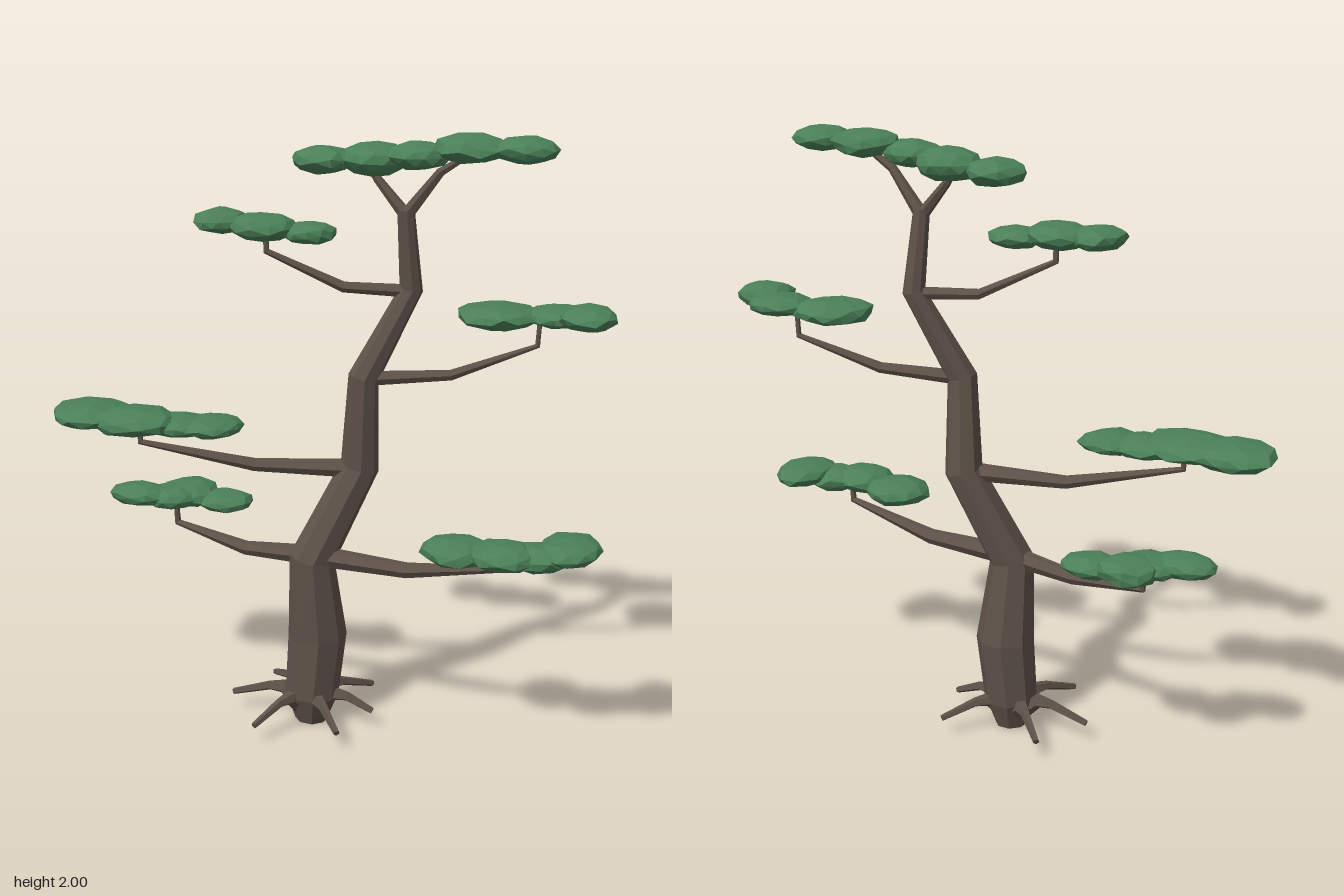
import * as THREE from 'three';

const bark = new THREE.MeshStandardMaterial({ color: 0x5e5249, flatShading: true });
const leaf = new THREE.MeshStandardMaterial({ color: 0x4a8058, flatShading: true });

// Faceted tapering limb through points [x, y, z, radius], capped at both ends
function limb(name, pts, sides = 6) {
  const centers = pts.map(p => new THREE.Vector3(p[0], p[1], p[2]));
  const pos = [], index = [];
  pts.forEach((p, i) => {
    const a = centers[Math.max(i - 1, 0)], b = centers[Math.min(i + 1, pts.length - 1)];
    const into = i ? centers[i].clone().sub(a).normalize() : new THREE.Vector3();
    const out = i < pts.length - 1 ? b.clone().sub(centers[i]).normalize() : new THREE.Vector3();
    const t = into.add(out).normalize();
    const u = new THREE.Vector3(0, 0, 1).cross(t).normalize();
    const v = t.clone().cross(u);
    for (let k = 0; k < sides; k++) {
      const ang = ((k + 0.5) / sides) * Math.PI * 2;
      const q = centers[i].clone()
        .addScaledVector(u, Math.cos(ang) * p[3])
        .addScaledVector(v, Math.sin(ang) * p[3]);
      pos.push(q.x, q.y, q.z);
      if (i < pts.length - 1) {
        const s = i * sides + k, n = i * sides + (k + 1) % sides;
        index.push(s, n, n + sides, s, n + sides, s + sides);
      }
    }
  });
  const last = (pts.length - 1) * sides;
  for (let k = 1; k < sides - 1; k++) {
    index.push(0, k + 1, k, last, last + k, last + k + 1);
  }
  const g = new THREE.BufferGeometry();
  g.setAttribute('position', new THREE.Float32BufferAttribute(pos, 3));
  g.setIndex(index);
  g.computeVertexNormals();
  const mesh = new THREE.Mesh(g, bark);
  mesh.name = name;
  return mesh;
}

// Squashed, slightly lumpy ball of needles
function blob([x, y, z, rx, rz, h], seed) {
  const g = new THREE.IcosahedronGeometry(1, 1);
  const p = g.attributes.position, v = new THREE.Vector3();
  for (let i = 0; i < p.count; i++) {
    v.fromBufferAttribute(p, i);
    v.multiplyScalar(1 + 0.07 * Math.sin(v.x * 5 + seed * 2.1) * Math.cos(v.y * 4 - v.z * 6 + seed));
    p.setXYZ(i, v.x, v.y, v.z);
  }
  g.rotateX(seed * 1.3);
  g.rotateY(seed * 2.4);
  g.scale(rx, h, rz);
  g.computeVertexNormals();
  const mesh = new THREE.Mesh(g, leaf);
  mesh.position.set(x, y, z);
  mesh.name = 'foliageClump';
  return mesh;
}

export function createModel() {
  const tree = new THREE.Group();
  tree.name = 'tree';

  // Winding trunk
  tree.add(limb('trunk', [
    [-0.065, 0.005, 0.02, 0.055], [-0.062, 0.1, 0.02, 0.09], [-0.045, 0.32, 0.01, 0.098],
    [-0.052, 0.6, 0.04, 0.076], [0.085, 0.91, -0.04, 0.064], [0.105, 1.22, -0.015, 0.05],
    [0.235, 1.5, -0.095, 0.038], [0.225, 1.76, -0.06, 0.027],
  ], 8));

  // Branches, each ending in a short upright twig
  const branches = {
    lowerLeft: [[-0.05, 0.61, 0.04, 0.036], [0.28, 0.605, 0.05, 0.026], [0.625, 0.665, 0.07, 0.012], [0.63, 0.72, 0.07, 0.009]],
    lowerRight: [[-0.05, 0.61, 0.04, 0.034], [-0.3, 0.595, 0.02, 0.024], [-0.575, 0.635, -0.03, 0.012], [-0.58, 0.71, -0.03, 0.009]],
    middleRight: [[0.08, 0.905, -0.03, 0.032], [-0.25, 0.905, 0.05, 0.022], [-0.605, 0.98, 0.17, 0.011], [-0.61, 1.04, 0.17, 0.008]],
    middleLeft: [[0.105, 1.215, -0.015, 0.025], [0.37, 1.23, -0.1, 0.018], [0.625, 1.325, -0.2, 0.01], [0.63, 1.41, -0.2, 0.008]],
    upperRight: [[0.23, 1.495, -0.09, 0.022], [0.03, 1.505, -0.03, 0.018], [-0.198, 1.62, 0.055, 0.011], [-0.2, 1.69, 0.055, 0.008]],
    crownRight: [[0.225, 1.74, -0.06, 0.021], [0.13, 1.85, -0.06, 0.014], [0.09, 1.91, -0.06, 0.009]],
    crownLeft: [[0.225, 1.74, -0.06, 0.023], [0.335, 1.88, -0.06, 0.015], [0.43, 1.94, -0.07, 0.009]],
  };
  for (const [name, pts] of Object.entries(branches)) tree.add(limb(name + 'Branch', pts));

  // Foliage pads: clumps as [x, y, z, radius x, radius z, half height]
  const pads = {
    lowerLeft: [[0.46, 0.72, 0.11, 0.115, 0.11, 0.045], [0.62, 0.73, 0.13, 0.11, 0.1, 0.045],
      [0.72, 0.725, 0.09, 0.1, 0.09, 0.043], [0.81, 0.745, 0.04, 0.1, 0.13, 0.04]],
    lowerRight: [[-0.7, 0.735, 0.0, 0.11, 0.08, 0.038], [-0.56, 0.725, -0.1, 0.1, 0.105, 0.045],
      [-0.43, 0.71, -0.1, 0.1, 0.085, 0.036], [-0.6, 0.725, -0.04, 0.1, 0.09, 0.04]],
    middleRight: [[-0.78, 0.0 + 1.06, 0.17, 0.14, 0.135, 0.043], [-0.62, 1.055, 0.18, 0.16, 0.13, 0.045],
      [-0.48, 1.045, 0.14, 0.12, 0.1, 0.035], [-0.37, 1.045, 0.12, 0.1, 0.11, 0.033]],
    middleLeft: [[0.5, 1.42, -0.17, 0.135, 0.13, 0.04], [0.69, 1.425, -0.21, 0.11, 0.105, 0.035],
      [0.79, 1.437, -0.16, 0.095, 0.1, 0.042]],
    upperRight: [[-0.35, 1.71, 0.06, 0.085, 0.1, 0.04], [-0.2, 1.7, 0.07, 0.11, 0.1, 0.045],
      [-0.06, 1.685, 0.04, 0.09, 0.08, 0.036]],
    crown: [[-0.05, 1.9, -0.06, 0.1, 0.09, 0.045], [0.12, 1.91, -0.06, 0.11, 0.1, 0.055],
      [0.27, 1.93, -0.04, 0.1, 0.09, 0.045], [0.43, 1.955, -0.07, 0.12, 0.11, 0.046],
      [0.6, 1.957, -0.07, 0.1, 0.1, 0.042]],
  };
  let seed = 1;
  for (const [name, clumps] of Object.entries(pads)) {
    const pad = new THREE.Group();
    pad.name = name + 'Foliage';
    clumps.forEach(c => pad.add(blob(c, seed++)));
    tree.add(pad);
  }

  // Arched roots fanning out from the base: [direction in degrees, length]
  [[0, 0.23], [48, 0.26], [113, 0.26], [175, 0.27], [222, 0.26], [308, 0.26]].forEach(([deg, len]) => {
    const root = limb('root', [
      [0.01, 0.04, 0, 0.034], [0.09, 0.108, 0, 0.025], [0.14, 0.105, 0, 0.016], [len, 0.066, 0, 0.011],
    ], 5);
    root.position.set(-0.075, 0, 0.02);
    root.rotation.y = -THREE.MathUtils.degToRad(deg);
    tree.add(root);
  });

  return tree;
}
